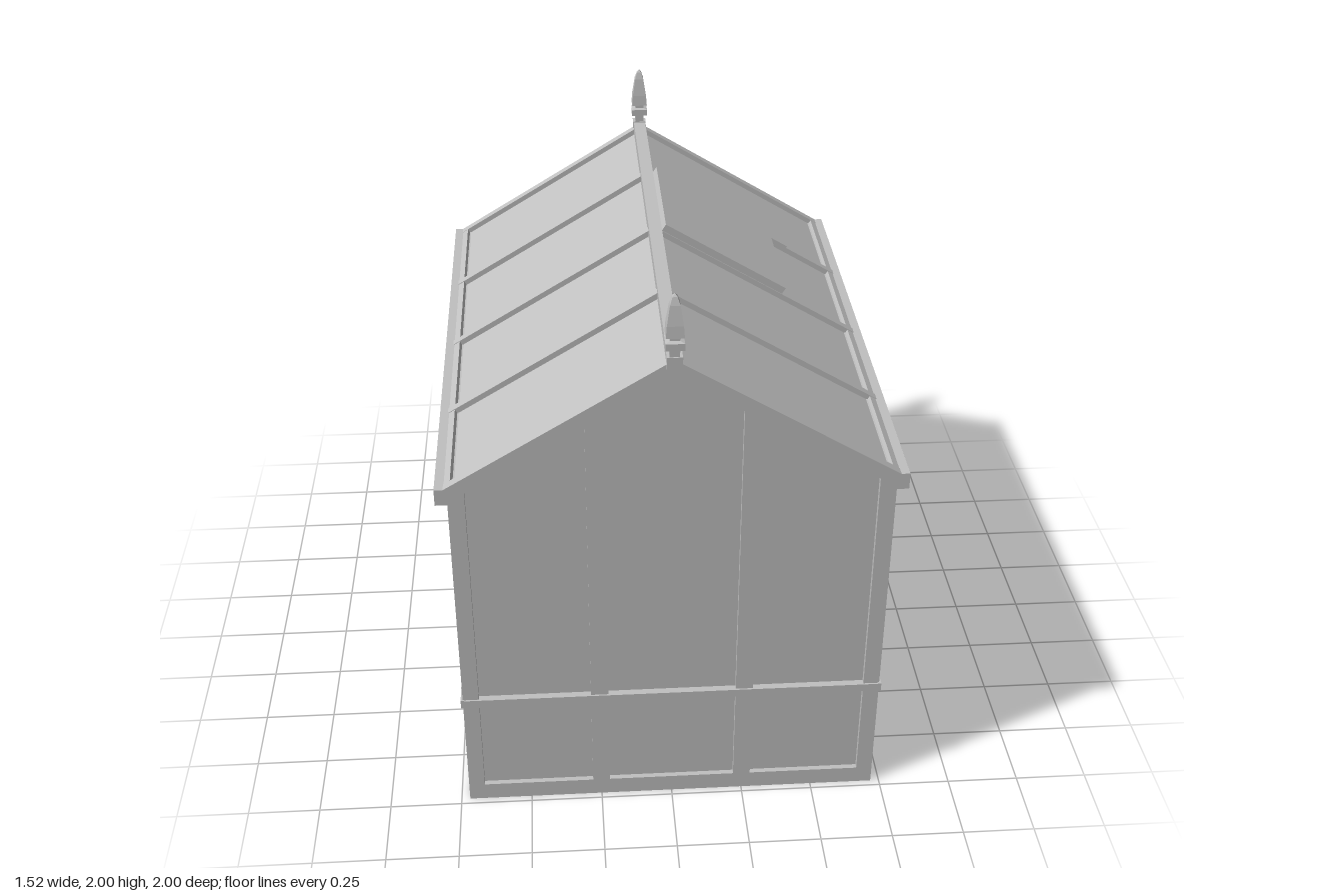
import * as THREE from 'three';

const SLOPE = 0.61, RIDGE = 1.775;
const ZB = -0.945, ZF = 0.977;            // outer faces of the gables
const ZMID = (ZB + ZF) / 2, ZLEN = ZF - ZB;
const BARS = [0.495, 0.02, -0.458];       // glazing bar centres along z

export function createModel() {
  const root = new THREE.Group();
  root.name = 'greenhouse';
  const grey = new THREE.MeshStandardMaterial({ color: 0xc0c0c0 });
  grey.name = 'plain grey';

  const add = (name, geo, x = 0, y = 0, z = 0, parent = root) => {
    const m = new THREE.Mesh(geo, grey);
    m.name = name;
    m.position.set(x, y, z);
    parent.add(m);
    return m;
  };
  const box = (name, w, h, d, x, y, z, parent) => add(name, new THREE.BoxGeometry(w, h, d), x, y, z, parent);
  const poly = (pts) => pts.map((p) => new THREE.Vector2(p[0], p[1]));
  const rect = (x0, x1, y0, y1) => [[x0, y0], [x1, y0], [x1, y1], [x0, y1]];
  const plate = (outline, holes, depth) => {
    const s = new THREE.Shape(poly(outline));
    holes.forEach((h) => s.holes.push(new THREE.Path(poly(h))));
    return new THREE.ExtrudeGeometry(s, { depth, bevelEnabled: false });
  };

  // House-shaped outline and gable pane with a sloping top
  const house = (hw, top) => [[-hw, 0], [hw, 0], [hw, top - SLOPE * hw], [0, top], [-hw, top - SLOPE * hw]];
  const paneTop = (x) => 1.72 - SLOPE * Math.abs(x);
  const pane = (x0, x1, y0) => {
    const p = [[x0, y0], [x1, y0], [x1, paneTop(x1)]];
    if (x0 < 0 && x1 > 0) p.push([0.03, 1.7], [-0.03, 1.7]);
    p.push([x0, paneTop(x0)]);
    return p;
  };

  // Glass and wall panels form one closed inner body
  add('panes', plate(house(0.7, RIDGE - 0.02), [], ZLEN - 0.036), 0, 0, ZB + 0.018);

  // Gable frames
  const sideBays = [[-0.665, -0.28], [0.28, 0.665]];
  const sideHoles = sideBays.flatMap(([a, b]) => [pane(a, b, 0.46), rect(a, b, 0.065, 0.43)]);
  add('frontFrame', plate(house(0.72, RIDGE),
    [...sideHoles, pane(-0.22, 0.22, 0.46), rect(-0.22, 0.22, 0.065, 0.43)], 0.02), 0, 0, ZF - 0.02);
  add('backFrame', plate(house(0.72, RIDGE),
    [...sideHoles, pane(-0.22, 0.22, 1.44), rect(-0.22, 0.22, 0.065, 1.41)], 0.02), 0, 0, ZB);

  // Door leaf with window, top drip rail and handle
  add('door', plate(rect(-0.215, 0.215, 0.07, 1.4), [rect(-0.175, 0.175, 0.77, 1.345)], 0.014), 0, 0, ZB + 0.006);
  box('doorRail', 0.5, 0.03, 0.012, 0, 1.425, ZB);
  const handle = new THREE.Group();
  handle.name = 'doorHandle';
  handle.position.set(0.172, 0.69, ZB);
  root.add(handle);
  box('handlePlate', 0.04, 0.13, 0.012, 0, 0, -0.001, handle);
  const stem = add('handleStem', new THREE.CylinderGeometry(0.01, 0.01, 0.04, 12), 0, 0.03, -0.022, handle);
  stem.rotation.x = Math.PI / 2;
  const leverPath = new THREE.CatmullRomCurve3([[0.008, -0.036], [-0.02, -0.043], [-0.06, -0.045], [-0.088, -0.04]]
    .map(([x, z]) => new THREE.Vector3(x, 0.03, z)));
  add('handleLever', new THREE.TubeGeometry(leverPath, 12, 0.009, 8), 0, 0, 0, handle);
  const knob = add('lockKnob', new THREE.CylinderGeometry(0.018, 0.012, 0.035, 12), 0, -0.025, -0.022, handle);
  knob.rotation.x = -Math.PI / 2;

  // Long walls: frame, sill and eaves on both sides
  const edges = [ZF - 0.035, ...BARS, ZB + 0.035];
  const wallHoles = [];
  for (let i = 0; i < 4; i++) {
    const a = -edges[i] + (i ? 0.016 : 0), b = -edges[i + 1] - (i < 3 ? 0.016 : 0);
    wallHoles.push(rect(a, b, 0.065, 0.43), rect(a, b, 0.46, 1.275));
  }
  const angle = Math.atan(SLOPE);
  const len = 0.735 / Math.cos(angle);
  for (const s of [1, -1]) {
    const wall = add('sideFrame', plate(rect(-ZF, -ZB, 0, 1.3), wallHoles, 0.022), s > 0 ? 0.698 : -0.72);
    wall.rotation.y = Math.PI / 2;
    box('sideSill', 0.012, 0.034, ZLEN + 0.012, s * 0.721, 0.445, ZMID);
    box('eaves', 0.065, 0.058, ZLEN, s * 0.7275, 1.301, ZMID);

    // Roof bars, laid along the slope
    const roof = new THREE.Group();
    roof.name = s > 0 ? 'leftRoof' : 'rightRoof';
    roof.position.y = RIDGE;
    roof.rotation.z = -s * angle;
    root.add(roof);
    for (const z of BARS) box('roofBar', len, 0.022, 0.032, s * len / 2, -0.009, z, roof);
    for (const z of [ZF - 0.017, ZB + 0.017]) box('roofEdge', len, 0.024, 0.034, s * len / 2, -0.011, z, roof);
    box('roofFoot', 0.03, 0.022, ZLEN, s * (len - 0.015), -0.011, ZMID, roof);

    // Roof vent on one side only, with its stay
    if (s > 0) {
      box('roofVent', 0.51, 0.026, 0.513, 0.283, 0.016, -0.222, roof);
      box('ventStay', 0.1, 0.014, 0.01, 0.58, 0.004, -0.442, roof);
    }
  }
  for (const z of [ZF, ZB]) {
    for (const [a, b] of z > 0 ? [[-0.72, 0.72]] : sideBays.map(([p, q]) => [p - 0.04, q + 0.04]))
      box('gableSill', b - a, 0.03, 0.012, (a + b) / 2, 0.445, z);
  }

  // Ridge beam and square finials
  box('ridge', 0.045, 0.045, ZLEN, 0, 1.763, ZMID);
  const r = Math.SQRT2;
  const profile = [[0, 1.78], [0.016, 1.78], [0.016, 1.815], [0.03, 1.818], [0.03, 1.842], [0.016, 1.846],
    [0.016, 1.858], [0.029, 1.86], [0.026, 1.9], [0.016, 1.965], [0.008, 1.99], [0, 2]]
    .map(([x, y]) => new THREE.Vector2(x * r, y));
  for (const z of [ZF - 0.01, ZB]) {
    box('finialPost', 0.05, 0.095, 0.04, 0, 1.742, z);
    const geo = new THREE.LatheGeometry(profile, 4).toNonIndexed();
    geo.rotateY(Math.PI / 4);
    geo.computeVertexNormals();
    add('finial', geo, 0, 0, z);
  }
  return root;
}
